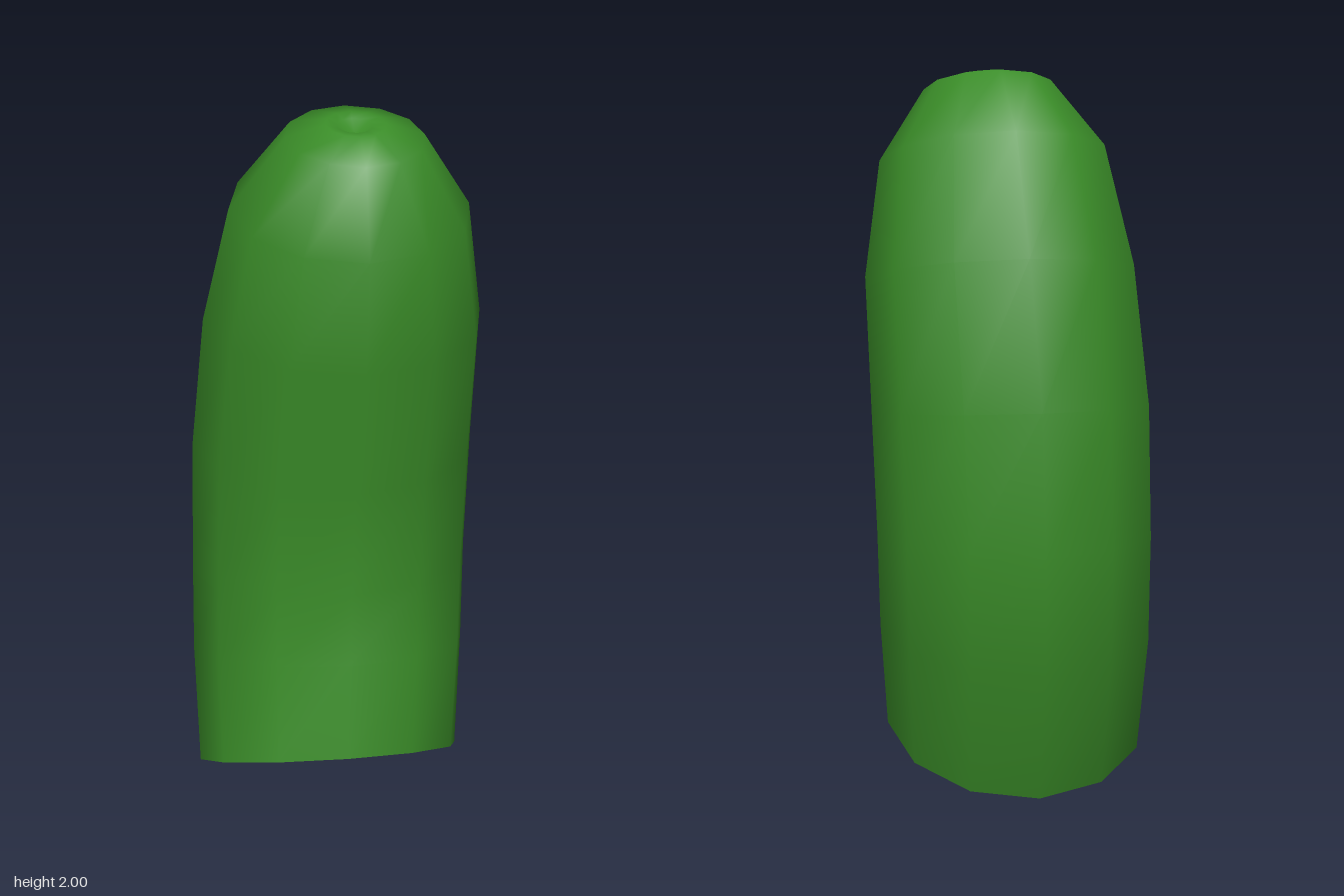
import * as THREE from 'three';

const SIDES = 12;

// Each ring: front z, front y, back z, back y, least x, greatest x
const RINGS = [
  [0.415, 0.275, -0.27, 0.0, -0.40, 0.35],
  [0.37, 0.53, -0.39, 0.38, -0.405, 0.38],
  [0.345, 0.73, -0.425, 0.72, -0.40, 0.39],
  [0.36, 1.02, -0.41, 1.11, -0.395, 0.40],
  [0.41, 1.36, -0.335, 1.51, -0.365, 0.405],
  [0.43, 1.66, -0.19, 1.84, -0.30, 0.35],
  [0.35, 1.89, 0.0, 2.0, -0.155, 0.215],
  [0.26, 1.955, 0.11, 2.0, -0.05, 0.11],
  [0.225, 1.96, 0.135, 1.985, -0.02, 0.075],
];

// Points around one tilted ring, from +x towards the front
function ringPoints([fz, fy, bz, by, x0, x1]) {
  const points = [];
  for (let j = 0; j < SIDES; j++) {
    const a = (j / SIDES) * Math.PI * 2;
    const c = Math.cos(a), s = Math.sin(a);
    points.push(
      (x0 + x1) / 2 + (c * (x1 - x0)) / 2,
      (fy + by) / 2 + (s * (fy - by)) / 2,
      (fz + bz) / 2 + (s * (fz - bz)) / 2,
    );
  }
  return points;
}

function makeGeometry(positions, index) {
  const geometry = new THREE.BufferGeometry();
  geometry.setAttribute('position', new THREE.Float32BufferAttribute(positions, 3));
  geometry.setIndex(index);
  geometry.computeVertexNormals();
  return geometry;
}

// Curved skin closed by a small dimple at the tip
function skinGeometry() {
  const positions = RINGS.flatMap(ringPoints);
  const index = [];
  const last = RINGS.length - 1;
  const tip = RINGS.length * SIDES;
  positions.push(0.03, 1.945, 0.17);
  for (let j = 0; j < SIDES; j++) {
    const k = (j + 1) % SIDES;
    for (let i = 0; i < last; i++) {
      const a = i * SIDES + j, b = i * SIDES + k;
      index.push(a, a + SIDES, b, b, a + SIDES, b + SIDES);
    }
    index.push(last * SIDES + j, tip, last * SIDES + k);
  }
  return makeGeometry(positions, index);
}

// Flat slanted cut at the bottom
function cutGeometry() {
  const [fz, fy, bz, by, x0, x1] = RINGS[0];
  const positions = ringPoints(RINGS[0]);
  positions.push((x0 + x1) / 2, (fy + by) / 2, (fz + bz) / 2);
  const index = [];
  for (let j = 0; j < SIDES; j++) index.push(SIDES, j, (j + 1) % SIDES);
  return makeGeometry(positions, index);
}

export function createModel() {
  const group = new THREE.Group();
  group.name = 'halfPickle';

  const green = new THREE.MeshStandardMaterial({ color: 0x3a8c28 });
  green.name = 'green skin';
  const paleGreen = new THREE.MeshStandardMaterial({ color: 0xabc482 });
  paleGreen.name = 'pale green flesh';

  const skin = new THREE.Mesh(skinGeometry(), green);
  skin.name = 'skin';
  const cut = new THREE.Mesh(cutGeometry(), paleGreen);
  cut.name = 'cutFace';
  group.add(skin, cut);
  return group;
}
